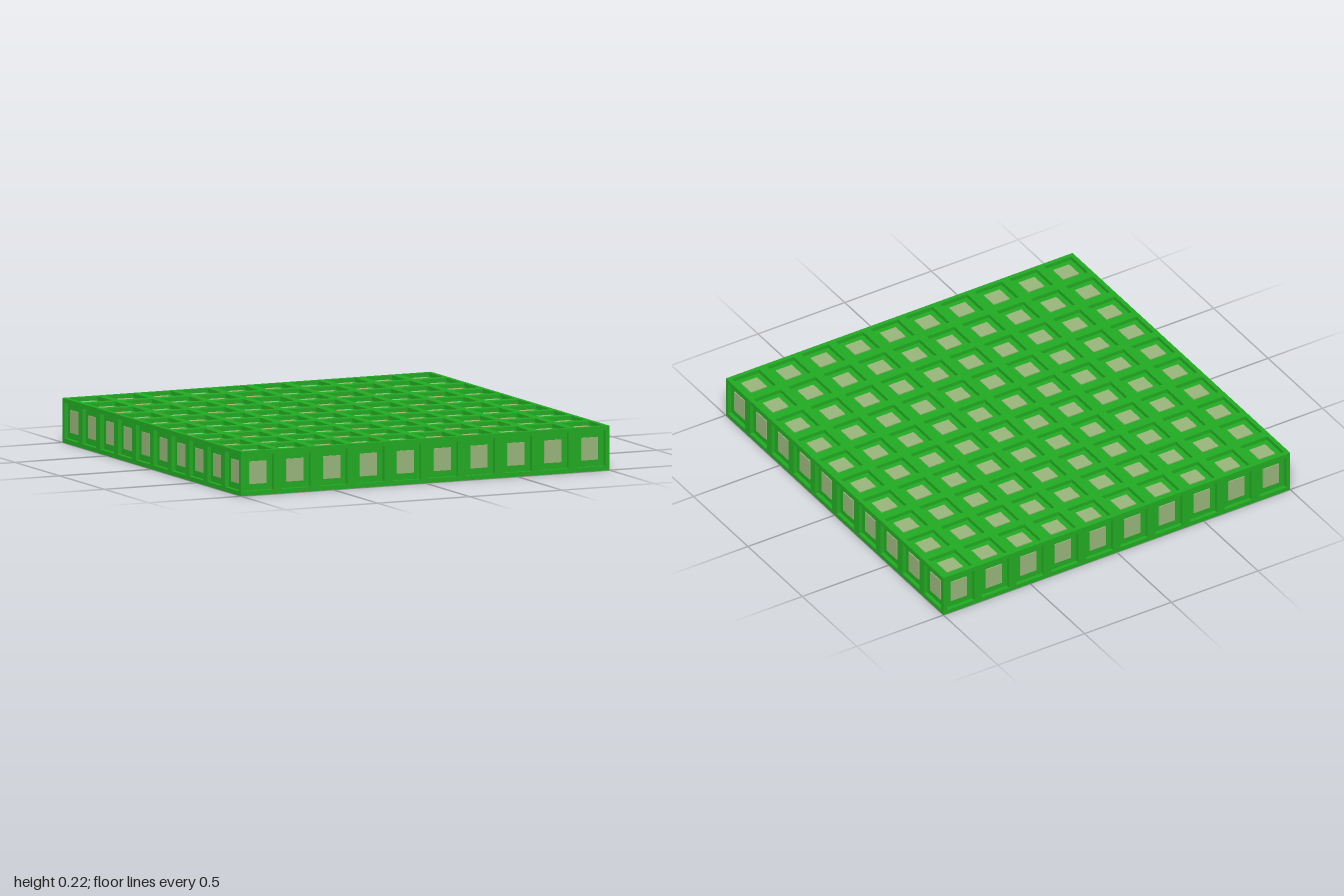
import * as THREE from 'three';

const SIZE = 2, HEIGHT = 0.22, COUNT = 10, CELL = SIZE / COUNT;
const BORDER = 0.022, DEPTH = 0.02; // lattice border and recess depth
const MARGIN = 0.054; // cell edge to light panel
const PANEL_RISE = 0.005;

const green = new THREE.MeshStandardMaterial({ color: 0x22aa22 });
const pale = new THREE.MeshStandardMaterial({ color: 0x98b47a });

// Rectangle centred on (x, y), used for outlines and openings
function rect(path, x, y, w, h) {
  path.moveTo(x - w / 2, y - h / 2);
  path.lineTo(x + w / 2, y - h / 2);
  path.lineTo(x + w / 2, y + h / 2);
  path.lineTo(x - w / 2, y + h / 2);
  path.closePath();
  return path;
}

// One face of the slab: pierced lattice and a pale panel in every recess.
// The outer surface lies at z = 0, facing +z.
function createFace(name, rows, cellH) {
  const face = new THREE.Group();
  face.name = name;
  const outline = rect(new THREE.Shape(), 0, 0, SIZE, rows * cellH);
  const panelGeometry = new THREE.BoxGeometry(CELL - 2 * MARGIN, cellH - 2 * MARGIN, 2 * PANEL_RISE);
  for (let r = 0; r < rows; r++) {
    for (let c = 0; c < COUNT; c++) {
      const x = (c - (COUNT - 1) / 2) * CELL;
      const y = (r - (rows - 1) / 2) * cellH;
      outline.holes.push(rect(new THREE.Path(), x, y, CELL - 2 * BORDER, cellH - 2 * BORDER));
      const panel = new THREE.Mesh(panelGeometry, pale);
      panel.name = 'panel';
      panel.position.set(x, y, -DEPTH);
      face.add(panel);
    }
  }
  const geometry = new THREE.ExtrudeGeometry(outline, { depth: DEPTH, bevelEnabled: false });
  geometry.translate(0, 0, -DEPTH);
  const lattice = new THREE.Mesh(geometry, green);
  lattice.name = 'lattice';
  face.add(lattice);
  return face;
}

export function createModel() {
  const model = new THREE.Group();
  model.name = 'blockSlab';

  // Solid core forming the floors of the recesses
  const core = new THREE.Mesh(
    new THREE.BoxGeometry(SIZE - 2 * DEPTH, HEIGHT - 2 * DEPTH, SIZE - 2 * DEPTH), green);
  core.name = 'core';
  core.position.y = HEIGHT / 2;
  model.add(core);

  // Four sides
  ['frontSide', 'leftSide', 'backSide', 'rightSide'].forEach((name, i) => {
    const side = createFace(name, 1, HEIGHT);
    const angle = i * Math.PI / 2;
    side.rotation.y = angle;
    side.position.set(Math.sin(angle) * SIZE / 2, HEIGHT / 2, Math.cos(angle) * SIZE / 2);
    model.add(side);
  });

  // Top and underside
  const top = createFace('top', COUNT, CELL);
  top.rotation.x = -Math.PI / 2;
  top.position.y = HEIGHT;
  const bottom = createFace('underside', COUNT, CELL);
  bottom.rotation.x = Math.PI / 2;
  model.add(top, bottom);

  return model;
}
